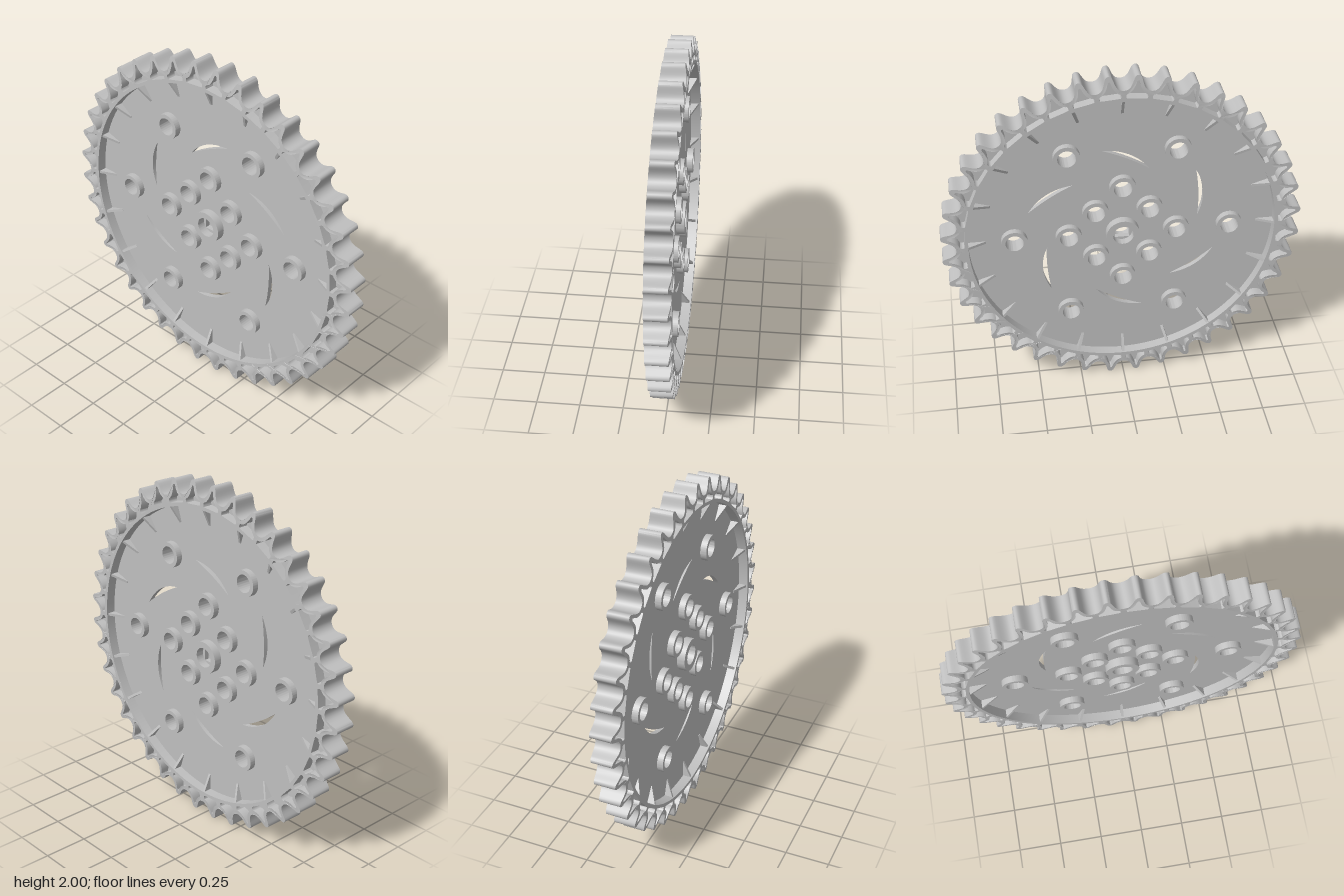
import * as THREE from 'three';
import { toCreasedNormals } from 'three/addons/utils/BufferGeometryUtils.js';

const TEETH = 40;
const PITCH = (Math.PI * 2) / TEETH;
const HALF_WIDTH = 0.07;
const PLATE_HALF = 0.014;

const polar = (r, a) => new THREE.Vector2(r * Math.cos(a), r * Math.sin(a));

// Half of one tooth, as [distance along the rim from the tip, radius]
const TOOTH = [
  [0, 1.002], [0.009, 0.9995], [0.016, 0.993], [0.021, 0.982], [0.026, 0.967], [0.032, 0.951],
  [0.041, 0.935], [0.053, 0.924], [0.066, 0.919], [0.0785, 0.9175],
];
// Half of the hollow inside one tooth
const POCKET = [
  [0, 0.972], [0.005, 0.969], [0.008, 0.962], [0.013, 0.943], [0.022, 0.924], [0.035, 0.908],
  [0.048, 0.9], [0.058, 0.896], [0.061, 0.89], [0.0615, 0.88], [0.058, 0.873], [0.03, 0.871], [0, 0.8705],
];

function gearOutline(scale) {
  const pts = [];
  const full = [...TOOTH.slice(1).reverse().map(([s, r]) => [-s, r]), ...TOOTH.slice(0, -1)];
  for (let i = 0; i < TEETH; i++) {
    for (const [s, r] of full) pts.push(polar(r * scale, (i + 0.5) * PITCH + s));
  }
  return pts;
}

function circlePath(x, y, radius) {
  return new THREE.Path().absarc(x, y, radius, 0, Math.PI * 2, true);
}

// Extrude a shape symmetrically about z = 0
function slab(shape, half, curveSegments = 24) {
  const g = new THREE.ExtrudeGeometry(shape, { depth: half * 2, bevelEnabled: false, curveSegments });
  return g.translate(0, 0, -half);
}

// Crescent slot: two arcs between an inner and an outer end
function slotPath(turn) {
  const a = new THREE.Vector2(0.42, -0.07);
  const b = new THREE.Vector2(0.405, -0.365);
  const pts = [];
  const bulge = (t, sag) => {
    const p = a.clone().lerp(b, t);
    p.x += 4 * sag * t * (1 - t);
    return p.rotateAround(new THREE.Vector2(), turn);
  };
  for (let i = 0; i <= 12; i++) pts.push(bulge(i / 12, 0.037));
  for (let i = 11; i > 0; i--) pts.push(bulge(i / 12, 0.01));
  return new THREE.Path(pts);
}

export function createModel() {
  const group = new THREE.Group();
  group.name = 'sprocketWheel';
  const wheel = new THREE.Group();
  wheel.name = 'wheel';
  wheel.position.y = 1;
  group.add(wheel);

  const grey = new THREE.MeshStandardMaterial({ color: 0xbfbfbf });
  grey.name = 'lightGrey';

  const add = (name, geometry, parent = wheel) => {
    const mesh = new THREE.Mesh(geometry, grey);
    mesh.name = name;
    parent.add(mesh);
    return mesh;
  };

  // Toothed rim with a hollow in every tooth; teeth narrow toward the tips
  const rimShape = new THREE.Shape(gearOutline(1));
  rimShape.holes.push(circlePath(0, 0, 0.852));
  for (let i = 0; i < TEETH; i++) {
    const mid = (i + 0.5) * PITCH;
    const right = POCKET.map(([s, r]) => polar(r, mid + s / 0.95));
    const left = POCKET.slice(1, -1).reverse().map(([s, r]) => polar(r, mid - s / 0.95));
    rimShape.holes.push(new THREE.Path([...right, ...left]));
  }
  const rim = slab(rimShape, HALF_WIDTH, 80);
  const pos = rim.attributes.position;
  for (let i = 0; i < pos.count; i++) {
    const r = Math.hypot(pos.getX(i), pos.getY(i));
    const taper = Math.max(0, (r - 0.925) / 0.077);
    pos.setZ(i, pos.getZ(i) * (1 - 0.14 * taper));
  }
  add('toothedRim', toCreasedNormals(rim, 0.6));

  // Boss positions: two inner sets and an outer ring of six
  const bosses = [];
  for (let i = 0; i < 4; i++) {
    bosses.push(polar(0.3, (i * Math.PI) / 2));
    bosses.push(polar(0.212, (i * Math.PI) / 2 + Math.PI / 4));
  }
  for (let i = 0; i < 6; i++) bosses.push(polar(0.6, (i * Math.PI) / 3));

  // Thin web plate, pierced by the bosses, slots and square axle hole
  const web = new THREE.Shape(gearOutline(0.985));
  for (const b of bosses) web.holes.push(circlePath(b.x, b.y, 0.06));
  for (let i = 0; i < 6; i++) web.holes.push(slotPath((i * Math.PI) / 3));
  const q = 0.04;
  web.holes.push(new THREE.Path([[-q, -q], [-q, q], [q, q], [q, -q]].map(([x, y]) => new THREE.Vector2(x, y))));
  add('webPlate', toCreasedNormals(slab(web, PLATE_HALF), 0.6));

  // Round bosses
  const ring = (outer, inner, half) => {
    const s = new THREE.Shape().absarc(0, 0, outer, 0, Math.PI * 2, false);
    s.holes.push(circlePath(0, 0, inner));
    return toCreasedNormals(slab(s, half, 40), 0.6);
  };
  const bossGeometry = ring(0.073, 0.05, 0.05);
  const bossGroup = new THREE.Group();
  bossGroup.name = 'bosses';
  wheel.add(bossGroup);
  for (const b of bosses) add('boss', bossGeometry, bossGroup).position.set(b.x, b.y, 0);
  add('axleHub', ring(0.093, 0.057, 0.06));

  // Wedge ribs bracing the rim on both faces of the web
  const wedge = new THREE.Shape([
    [0.755, -0.016], [0.86, -0.064], [0.86, 0.064], [0.755, 0.016],
  ].map(([x, y]) => new THREE.Vector2(x, y)));
  const ribGeometry = slab(wedge, 0.0075).rotateX(Math.PI / 2);
  const ribs = new THREE.Group();
  ribs.name = 'ribs';
  wheel.add(ribs);
  for (let i = 0; i < 20; i++) add('rib', ribGeometry, ribs).rotation.z = (i * Math.PI) / 10;

  return group;
}
